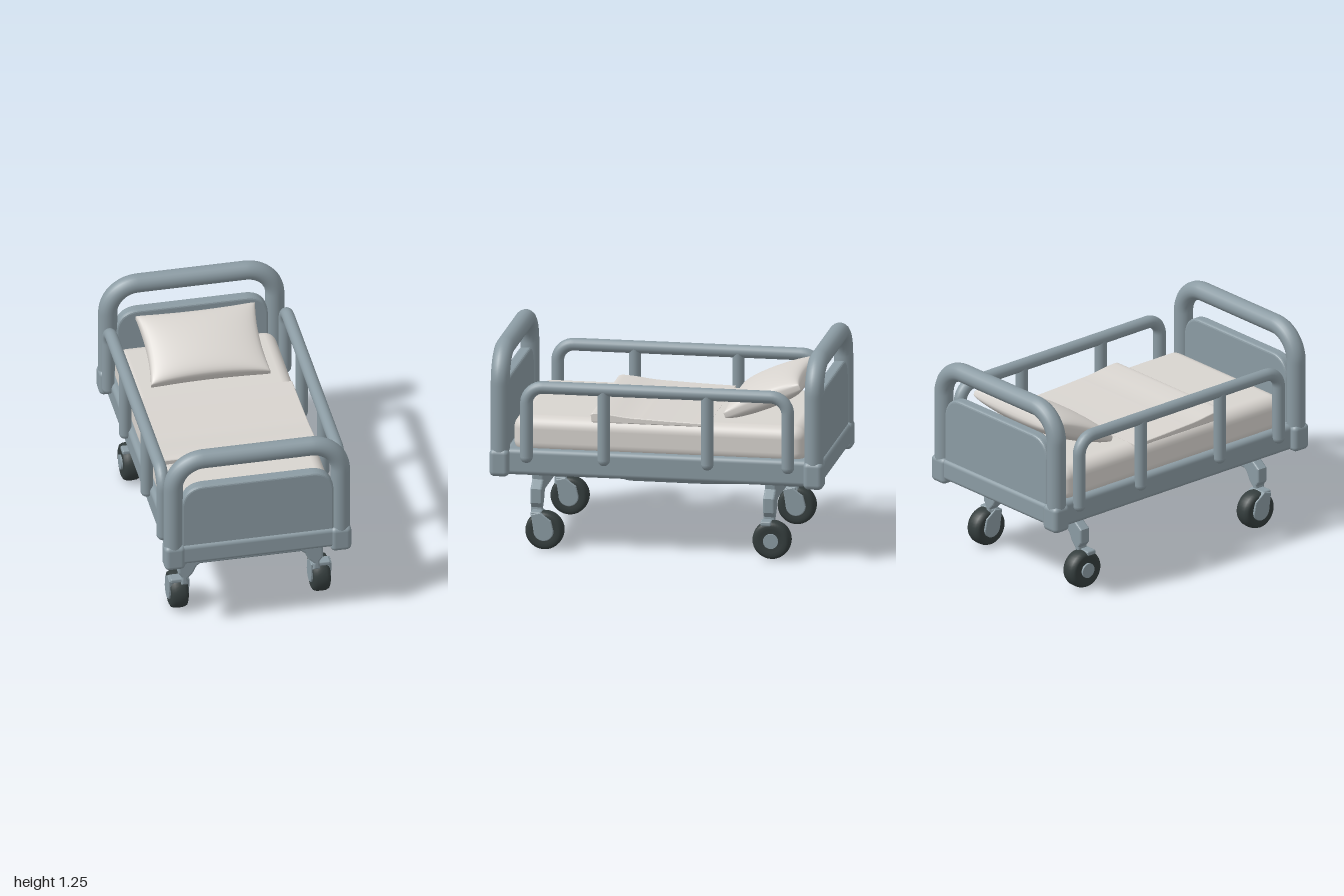
import * as THREE from 'three';
import { mergeVertices } from 'three/addons/utils/BufferGeometryUtils.js';
import { RoundedBoxGeometry } from 'three/addons/geometries/RoundedBoxGeometry.js';

const mat = (name, color) => Object.assign(new THREE.MeshStandardMaterial({ color }), { name });
const V = (x, y, z) => new THREE.Vector3(x, y, z);

export function createModel() {
  const bed = new THREE.Group();
  bed.name = 'hospitalBed';
  const steel = mat('blue grey frame', 0x8b9ba3);
  const linen = mat('off white linen', 0xd8d4cf);
  const rubber = mat('dark rubber', 0x343d3d);

  const add = (name, geo, material, x = 0, y = 0, z = 0) => {
    const m = new THREE.Mesh(geo, material);
    m.name = name;
    m.position.set(x, y, z);
    bed.add(m);
    return m;
  };
  const rbox = (w, h, d, r) => new RoundedBoxGeometry(w, h, d, 4, r);

  // Tube through points with rounded corners and ball ends
  const bentTube = (name, pts, r, bend) => {
    const path = new THREE.CurvePath();
    let from = pts[0];
    for (let i = 1; i < pts.length - 1; i++) {
      const p = pts[i];
      const a = p.clone().add(pts[i - 1].clone().sub(p).setLength(bend));
      const b = p.clone().add(pts[i + 1].clone().sub(p).setLength(bend));
      path.add(new THREE.LineCurve3(from, a));
      path.add(new THREE.CubicBezierCurve3(a, a.clone().lerp(p, 0.55), b.clone().lerp(p, 0.55), b));
      from = b;
    }
    path.add(new THREE.LineCurve3(from, pts[pts.length - 1]));
    add(name, new THREE.TubeGeometry(path, 120, r, 18), steel);
    for (const p of [pts[0], pts[pts.length - 1]])
      add(name + 'End', new THREE.SphereGeometry(r, 18, 12), steel, p.x, p.y, p.z);
  };

  // Extrusion centred on its depth
  const slab = (shape, depth, bevel) => {
    const g = new THREE.ExtrudeGeometry(shape, {
      depth: depth - 2 * bevel, bevelEnabled: bevel > 0, bevelThickness: bevel,
      bevelSize: bevel, bevelOffset: -bevel, bevelSegments: 3, curveSegments: 16,
    });
    return g.translate(0, 0, bevel - depth / 2);
  };

  // Deck
  add('deck', rbox(1.04, 0.16, 1.82, 0.03), steel, 0, 0.54, 0);

  // Head and foot boards
  const board = new THREE.Shape();
  board.moveTo(-0.46, 0.59);
  board.lineTo(0.46, 0.59);
  board.lineTo(0.46, 0.9);
  board.quadraticCurveTo(0.44, 1.02, 0.32, 1.02);
  board.lineTo(-0.32, 1.02);
  board.quadraticCurveTo(-0.44, 1.02, -0.46, 0.9);
  for (const e of [1, -1]) {
    const end = e > 0 ? 'foot' : 'head', z = 0.94 * e;
    bentTube(end + 'Arch', [V(-0.503, 0.53, z), V(-0.503, 1.195, z), V(0.503, 1.195, z), V(0.503, 0.53, z)], 0.057, 0.18);
    add(end + 'Board', slab(board, 0.07, 0.015), steel, 0, 0, z);
    add(end + 'CrossRail', rbox(0.96, 0.13, 0.1, 0.025), steel, 0, 0.55, z);
    for (const s of [1, -1])
      add(end + 'CornerSleeve', rbox(0.126, 0.165, 0.118, 0.03), steel, 0.5 * s, 0.537, z);
  }

  // Side rails
  for (const s of [1, -1]) {
    const x = 0.532 * s;
    bentTube('sideRail', [V(x, 0.58, 0.778), V(x, 1.005, 0.778), V(x, 1.005, -0.787), V(x, 0.58, -0.787)], 0.038, 0.1);
    for (const z of [0.315, -0.305])
      bentTube('sideRailPost', [V(x, 0.58, z), V(x, 1.0, z)], 0.037, 0);
  }

  // Mattress
  add('mattress', rbox(0.975, 0.23, 1.75, 0.075), linen, 0, 0.695, -0.005);

  // Blanket, thickest at its folded edge
  const fold = new THREE.Shape();
  fold.moveTo(-0.3, 0.79);
  fold.lineTo(0.4, 0.79);
  fold.lineTo(0.405, 0.835);
  fold.quadraticCurveTo(0.4, 0.85, 0.36, 0.848);
  fold.bezierCurveTo(0.25, 0.842, 0.22, 0.827, 0.1, 0.825);
  fold.quadraticCurveTo(-0.1, 0.815, -0.3, 0.811);
  add('blanket', slab(fold, 0.95, 0.006).rotateY(-Math.PI / 2), linen);

  // Pillow: a cushion swelling from pinched edges
  let pillow = new THREE.BoxGeometry(2, 2, 2, 24, 1, 24);
  pillow.deleteAttribute('normal');
  pillow.deleteAttribute('uv');
  pillow = mergeVertices(pillow);
  const pos = pillow.attributes.position;
  for (let i = 0; i < pos.count; i++) {
    const u = Math.sin(pos.getX(i) * Math.PI / 2), v = Math.sin(pos.getZ(i) * Math.PI / 2);
    const swell = Math.pow(Math.max(0, (1 - u * u) * (1 - v * v)), 0.36);
    pos.setXYZ(i,
      u * (0.36 - 0.022 * (1 - v * v)),
      pos.getY(i) * (0.012 + 0.078 * swell),
      v * (0.245 - 0.02 * (1 - u * u)));
  }
  pillow.computeVertexNormals();
  add('pillow', pillow, linen, 0, 0.932, -0.603).rotation.x = 0.4;

  // Leg frames: half outline mirrored across x
  const half = [[0.22, 0.42], [0.24, 0.47], [0.38, 0.47], [0.375, 0.405], [0.437, 0.36], [0.437, 0.275],
    [0.415, 0.245], [0.42, 0.19], [0.375, 0.19], [0.38, 0.235], [0.35, 0.265], [0.325, 0.315], [0.305, 0.33]];
  const outline = [...half, ...half.map(([x, y]) => [-x, y]).reverse()];
  const legShape = new THREE.Shape(outline.map(([x, y]) => new THREE.Vector2(x, y)));

  // Caster parts
  const tyreProfile = [[0.001, -0.046], [0.07, -0.05], [0.09, -0.053], [0.105, -0.046], [0.113, -0.028], [0.115, 0],
    [0.113, 0.028], [0.105, 0.046], [0.09, 0.053], [0.07, 0.05], [0.001, 0.046]].map(([r, y]) => new THREE.Vector2(r, y));
  const tyre = new THREE.LatheGeometry(tyreProfile, 36).rotateZ(Math.PI / 2);
  const hub = new THREE.CylinderGeometry(0.045, 0.045, 0.122, 24).rotateZ(Math.PI / 2);
  const forkShape = new THREE.Shape();
  forkShape.moveTo(0.075, 0.1);
  forkShape.lineTo(0.06, 0);
  forkShape.absarc(0, 0, 0.06, 0, -Math.PI, true);
  forkShape.lineTo(-0.045, 0.065);
  forkShape.lineTo(0.02, 0.112);
  const fork = slab(forkShape, 0.024, 0.006).rotateY(-Math.PI / 2);

  for (const [end, legZ, wheelZ] of [['foot', 0.738, 0.685], ['head', -0.655, -0.675]]) {
    add(end + 'LegFrame', slab(legShape, 0.07, 0.012), steel, 0, 0, legZ);
    for (const s of [1, -1]) {
      const x = 0.428 * s;
      add(end + 'Tyre', tyre, rubber, x, 0.115, wheelZ);
      add(end + 'Hub', hub, steel, x, 0.115, wheelZ);
      add(end + 'InnerFork', fork, steel, x - 0.05 * s, 0.118, wheelZ);
      if (end === 'foot') add('footOuterFork', fork, steel, x + 0.05 * s, 0.118, wheelZ);
      add(end + 'ForkCrown', rbox(0.11, 0.03, 0.065, 0.01), steel, x, 0.218, (legZ + wheelZ) / 2 + 0.02);
    }
  }

  // Lift handle loop under the deck
  const side = [V(0.21, 0.425, -0.66), V(0.19, 0.418, -0.52), V(0.13, 0.388, -0.22), V(0.125, 0.388, 0.27)];
  bentTube('liftHandle', [...side, ...side.map((p) => V(-p.x, p.y, p.z)).reverse()], 0.03, 0.06);

  return bed;
}
